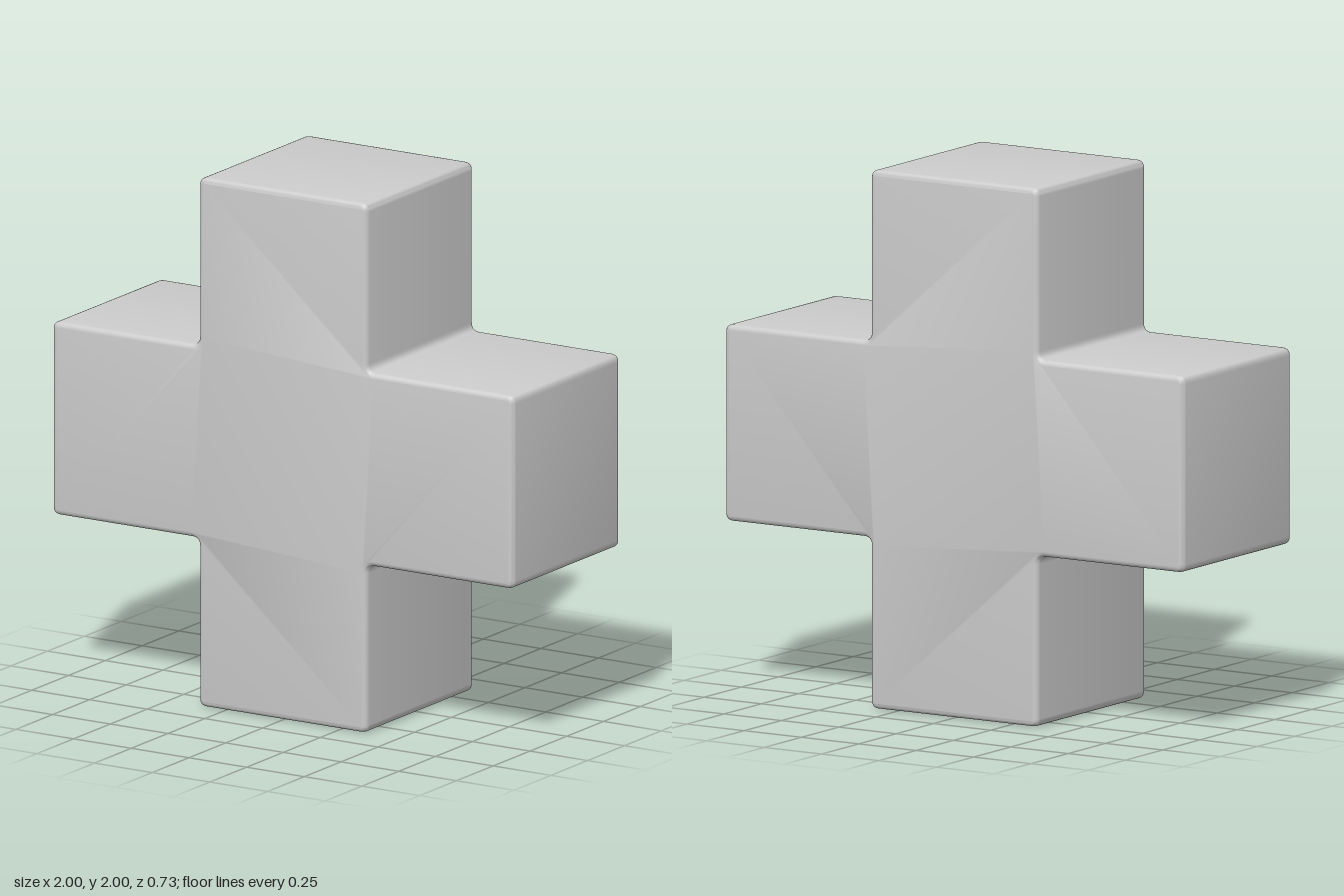
import * as THREE from 'three';
import { toCreasedNormals } from 'three/addons/utils/BufferGeometryUtils.js';

const REACH = 1;      // centre to arm end
const HALF = 0.365;   // half the arm width and depth
const ROUND = 0.03;   // corner radius of the outline
const BEVEL = 0.02;   // rounding of the front and back edges

// Closed outline with every corner rounded
function roundedOutline(corners, radius) {
  const shape = new THREE.Shape();
  const n = corners.length;
  corners.forEach((corner, i) => {
    const toward = (other) =>
      corner.clone().add(other.clone().sub(corner).setLength(radius));
    const start = toward(corners[(i + n - 1) % n]);
    const end = toward(corners[(i + 1) % n]);
    if (i === 0) shape.moveTo(start.x, start.y);
    else shape.lineTo(start.x, start.y);
    shape.quadraticCurveTo(corner.x, corner.y, end.x, end.y);
  });
  shape.closePath();
  return shape;
}

export function createModel() {
  const group = new THREE.Group();
  group.name = 'plusBlock';

  // Three corners per arm, turned a quarter four times
  const corners = [];
  const origin = new THREE.Vector2();
  for (let arm = 0; arm < 4; arm++) {
    for (const [x, y] of [[REACH, -HALF], [REACH, HALF], [HALF, HALF]]) {
      corners.push(new THREE.Vector2(x, y).rotateAround(origin, arm * Math.PI / 2));
    }
  }

  // Thick cross with softened front and back edges
  const depth = 2 * (HALF - BEVEL);
  const geometry = new THREE.ExtrudeGeometry(roundedOutline(corners, ROUND), {
    depth,
    curveSegments: 5,
    bevelEnabled: true,
    bevelThickness: BEVEL,
    bevelSize: BEVEL,
    bevelOffset: -BEVEL,
    bevelSegments: 4,
  });
  geometry.translate(0, REACH, -depth / 2);

  const cross = new THREE.Mesh(
    toCreasedNormals(geometry, 0.8),
    new THREE.MeshStandardMaterial({ color: 0xcccccc }),
  );
  cross.name = 'cross';
  group.add(cross);
  return group;
}
